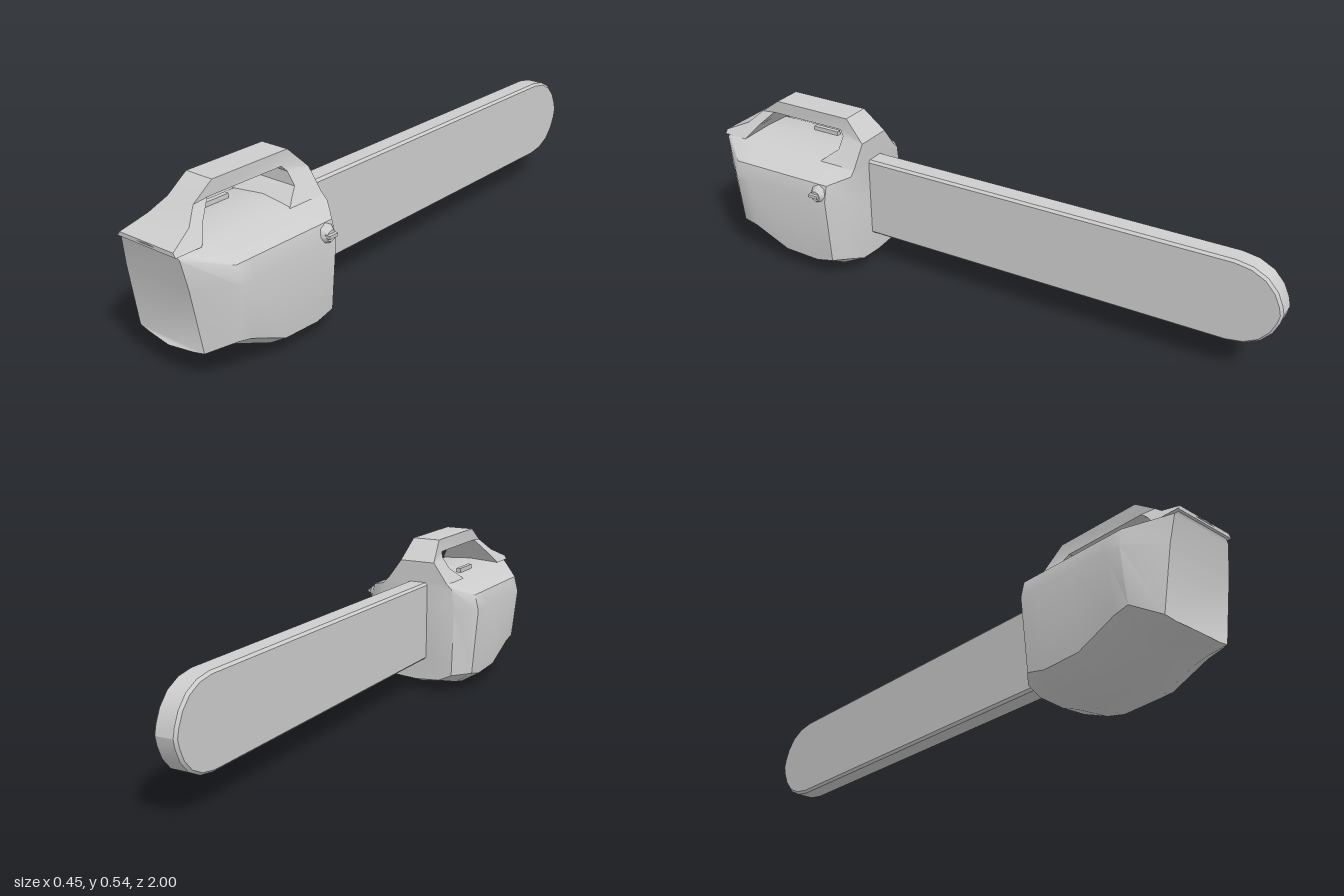
import * as THREE from 'three';
import { toCreasedNormals } from 'three/addons/utils/BufferGeometryUtils.js';

const CX = -0.01; // the saw's middle plane sits slightly off centre

// Engine housing: right-half sections [x, y], mirrored and lofted along z
function housingGeometry() {
  const full = (b) => [[0, b], [0.13, b + 0.015], [0.195, b + 0.055], [0.214, 0.305], [0.2, 0.36], [0.11, 0.4], [0, 0.408]];
  const rear = [[0, 0.04], [0.09, 0.046], [0.14, 0.07], [0.145, 0.3], [0.135, 0.38], [0.115, 0.4], [0, 0.405]];
  const nose = [[0, 0.087], [0.09, 0.093], [0.13, 0.1], [0.125, 0.3], [0.115, 0.39], [0.1, 0.402], [0, 0.41]];
  const stations = [
    [0.44, rear], [0.495, full(0.018)], [0.56, full(0.003)], [0.69, full(0.008)],
    [0.82, full(0.065)], [0.87, full(0.077)], [0.985, nose],
  ];
  const pos = [], index = [];
  stations.forEach(([z, half]) => {
    const loop = [...half, ...half.slice(1, -1).reverse().map(([x, y]) => [-x, y])];
    loop.forEach(([x, y]) => {
      // the nose leans back towards its foot and bulges at the middle
      const dz = half === nose ? 0.015 * (1 - Math.abs(x) / 0.13) - (0.41 - y) * 0.16 : 0;
      pos.push(CX + x, y, z + dz);
    });
  });
  const n = 12, last = (stations.length - 1) * n;
  for (let i = 0; i < stations.length - 1; i++) {
    for (let j = 0; j < n; j++) {
      const a = i * n + j, b = i * n + (j + 1) % n;
      index.push(a, b, b + n, a, b + n, a + n);
    }
  }
  // end caps, joined straight across from side to side
  for (let j = 0; j < 6; j++) {
    const l = (n - j) % n, l2 = n - j - 1, r = j, r2 = j + 1;
    if (l !== r) {
      index.push(last + l, last + r, last + r2, r, l, r2);
    }
    if (l2 !== r2) {
      index.push(last + l, last + r2, last + l2, l, l2, r2);
    }
  }
  const g = new THREE.BufferGeometry();
  g.setAttribute('position', new THREE.Float32BufferAttribute(pos, 3));
  g.setIndex(index);
  return toCreasedNormals(g, 0.75);
}

// Extrude a [z, y] side profile to a given width across x
function sideExtrude(points, width, bevel = 0) {
  const shape = new THREE.Shape(points.map(([z, y]) => new THREE.Vector2(-z, y)));
  const g = new THREE.ExtrudeGeometry(shape, {
    depth: width - 2 * bevel, bevelEnabled: bevel > 0, bevelSize: bevel,
    bevelThickness: bevel, bevelOffset: -bevel, bevelSegments: 1,
  });
  g.translate(0, 0, bevel - width / 2);
  g.rotateY(Math.PI / 2);
  return g;
}

// Handle: an arch whose sides flare out into the housing
function handleGeometry() {
  const g = sideExtrude([
    [0.995, 0.4], [0.995, 0.413], [0.915, 0.448], [0.87, 0.49], [0.8, 0.54], [0.51, 0.54], [0.44, 0.47], [0.44, 0.395],
    [0.58, 0.395], [0.55, 0.42], [0.523, 0.44], [0.522, 0.478], [0.537, 0.495], [0.82, 0.495], [0.87, 0.445], [0.905, 0.4],
  ], 2);
  const p = g.attributes.position;
  for (let i = 0; i < p.count; i++) {
    const y = p.getY(i);
    p.setX(i, CX + p.getX(i) * (0.05 + Math.max(0, 0.49 - y) * 0.72));
  }
  g.computeVertexNormals();
  return toCreasedNormals(g, 0.5);
}

// Guide bar: long flat plate with a rounded tip
function barGeometry() {
  const tip = [[-0.84, 0.14], [-0.895, 0.131], [-0.942, 0.107], [-0.975, 0.07], [-0.993, 0.03]];
  const mid = 0.257;
  const pts = [
    [0.48, mid + 0.14], ...tip.map(([z, h]) => [z, mid + h]), [-1, mid],
    ...tip.slice().reverse().map(([z, h]) => [z, mid - h]), [0.48, mid - 0.14],
  ];
  const g = sideExtrude(pts, 0.074, 0.008);
  g.translate(-0.013, 0, 0);
  return toCreasedNormals(g, 0.4);
}

export function createModel() {
  const grey = new THREE.MeshStandardMaterial({ color: 0xcccccc });
  grey.name = 'grey';
  const group = new THREE.Group();
  group.name = 'chainsaw';

  const add = (name, geometry, x = 0, y = 0, z = 0) => {
    const mesh = new THREE.Mesh(geometry, grey);
    mesh.name = name;
    mesh.position.set(x, y, z);
    group.add(mesh);
    return mesh;
  };

  add('housing', housingGeometry());
  add('handle', handleGeometry());
  add('guideBar', barGeometry());

  // Small switch on the top deck
  add('deckSwitch', new THREE.BoxGeometry(0.016, 0.024, 0.1), -0.08, 0.406, 0.69);

  // Starter boss on the left side with its pull grip
  const boss = new THREE.CylinderGeometry(0.018, 0.038, 0.03, 8);
  boss.rotateZ(-Math.PI / 2);
  add('starterBoss', boss, 0.199, 0.325, 0.525);
  add('starterGrip', new THREE.BoxGeometry(0.022, 0.01, 0.035), 0.214, 0.328, 0.527);

  return group;
}
